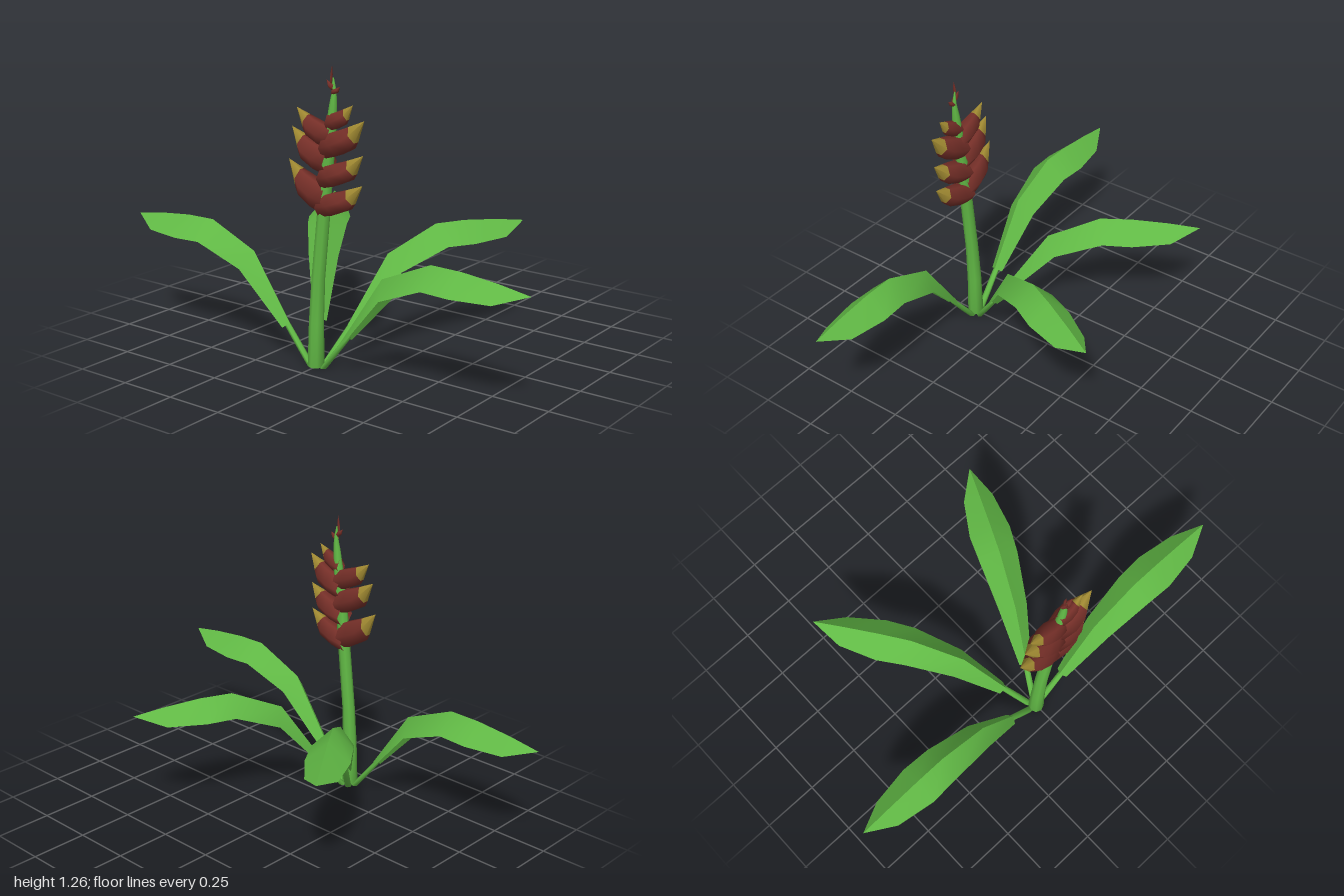
import * as THREE from 'three';

const Z0 = 0.404; // depth of the plant's root

const mat = (name, color) => {
  const m = new THREE.MeshStandardMaterial({ color, side: THREE.DoubleSide });
  m.name = name;
  return m;
};

// Skin a list of equal-length point rings; closed joins last point to first
function loft(rings, closed = true) {
  const n = rings[0].length, pos = rings.flat(2), index = [];
  const cols = closed ? n : n - 1;
  for (let i = 0; i < rings.length - 1; i++) {
    for (let j = 0; j < cols; j++) {
      const k = (j + 1) % n;
      const a = i * n + j, b = i * n + k, c = a + n, d = b + n;
      index.push(a, c, b, b, c, d);
    }
  }
  const g = new THREE.BufferGeometry();
  g.setAttribute('position', new THREE.Float32BufferAttribute(pos, 3));
  g.setIndex(index);
  g.computeVertexNormals();
  return g;
}

// Horizontal ring of points
function circle(x, y, z, r, n) {
  return Array.from({ length: n }, (_, i) => {
    const a = (i / n) * Math.PI * 2;
    return [x + r * Math.cos(a), y, z + r * Math.sin(a)];
  });
}

function add(parent, name, geometry, material) {
  const mesh = new THREE.Mesh(geometry, material);
  mesh.name = name;
  parent.add(mesh);
}

// Leaf stations: ridge r, ridge y, edge r, edge y, half width
const LEAF = [
  [0.142, 0.16, 0.16, 0.145, 0.028],
  [0.33, 0.44, 0.36, 0.37, 0.064],
  [0.56, 0.54, 0.57, 0.457, 0.087],
  [0.70, 0.538, 0.70, 0.455, 0.093],
  [0.86, 0.522, 0.87, 0.457, 0.067],
  [1.0, 0.5, 1.0, 0.5, 0],
];

// Arched leaf folded along its ridge, on a thin stalk, pointing along +x
function makeLeaf(green) {
  const leaf = new THREE.Group();
  for (const s of [1, -1]) {
    const rings = LEAF.map(([r, y, er, ey, w]) => {
      const ridge = [r, y, 0], edge = [er, ey, s * w];
      return s > 0 ? [ridge, edge] : [edge, ridge];
    });
    add(leaf, s > 0 ? 'bladeFront' : 'bladeBack', loft(rings, false), green);
  }
  const stalk = [
    circle(0.034, 0.004, 0, 0, 6),
    circle(0.034, 0.004, 0, 0.015, 6),
    circle(0.09, 0.073, 0, 0.015, 6),
    circle(0.158, 0.158, 0, 0.014, 6),
    circle(0.175, 0.178, 0, 0, 6),
  ];
  add(leaf, 'leafStalk', loft(stalk), green);
  return leaf;
}

// Boat-shaped bract from base (bx, by) to tip (tx, ty), red with a yellow point
function makeBract(bx, by, tx, ty, hw, red, yellow) {
  const at = (a, b) => [bx + a * (tx - bx), by + b * (ty - by)];
  const section = (lowA, lowB, upA, upB, w) => {
    const [lx, ly] = at(lowA, lowB), [ux, uy] = at(upA, upB);
    return [[0, 0.4], [0.5, 1], [1, 0.4], [1, -0.4], [0.5, -1], [0, -0.4]].map(
      ([t, k]) => [lx + (ux - lx) * t, ly + (uy - ly) * t, Z0 + k * w]);
  };
  const base = section(-0.08, -0.02, -0.08, 0.55, hw * 0.8);
  const belly = section(0.3, 0.1, 0.2, 0.66, hw);
  const keel = section(0.66, 0.29, 0.44, 0.75, hw * 0.88);
  const rim = section(0.77, 0.46, 0.62, 0.83, hw * 0.6);
  const tip = section(1, 1, 1, 1, 0);
  const bract = new THREE.Group();
  add(bract, 'bractBody', loft([base, belly, keel, rim]), red);
  add(bract, 'bractTip', loft([rim, tip]), yellow);
  return bract;
}

export function createModel() {
  const plant = new THREE.Group();
  plant.name = 'floweringPlant';
  const green = mat('leafGreen', 0x61b945);
  const red = mat('bractRed', 0x752f28);
  const yellow = mat('bractYellow', 0xa18a32);

  // Leaning, tapering stem: x, y, radius
  const stem = [
    [0, 0.008, 0], [0, 0.008, 0.035], [0.003, 0.2, 0.031], [0.014, 0.385, 0.028],
    [0.042, 0.65, 0.027], [0.062, 0.85, 0.026], [0.08, 1.0, 0.022],
    [0.092, 1.1, 0.016], [0.098, 1.16, 0.009], [0.093, 1.21, 0.003],
  ].map(([x, y, r]) => circle(x, y, Z0 + (0.65 - y) * 0.008, r, 8));
  add(plant, 'stem', loft(stem), green);

  // Two side leaves and two rear leaves: x, z direction of each tip
  const leaves = [['leftLeaf', 1, 0], ['rightLeaf', -1, 0],
    ['rearLeftLeaf', 0.43, -0.9], ['rearRightLeaf', -0.555, -0.832]];
  for (const [name, dx, dz] of leaves) {
    const leaf = makeLeaf(green);
    leaf.name = name;
    leaf.position.z = Z0;
    leaf.rotation.y = Math.atan2(-dz, dx);
    plant.add(leaf);
  }

  // Alternating bracts: base x, y, tip x, y, half width
  const bracts = [
    [0.045, 0.65, 0.237, 0.80, 0.054],
    [0.045, 0.665, -0.132, 0.862, 0.054],
    [0.06, 0.77, 0.241, 0.92, 0.063],
    [0.06, 0.825, -0.113, 0.997, 0.06],
    [0.07, 0.89, 0.247, 1.057, 0.06],
    [0.075, 0.93, -0.088, 1.077, 0.045],
    [0.08, 1.0, 0.192, 1.112, 0.033],
  ];
  bracts.forEach((b, i) => {
    const bract = makeBract(...b, red, yellow);
    bract.name = 'bract' + (i + 1);
    plant.add(bract);
  });

  // Small unopened bracts at the top
  const buds = [
    [0.096, 1.145, 0.13, 1.178, 0.014],
    [0.097, 1.16, 0.064, 1.2, 0.012],
    [0.086, 1.18, 0.092, 1.26, 0.008],
  ];
  buds.forEach((b, i) => {
    const bud = makeBract(...b, red, red);
    bud.name = 'bud' + (i + 1);
    plant.add(bud);
  });
  return plant;
}
